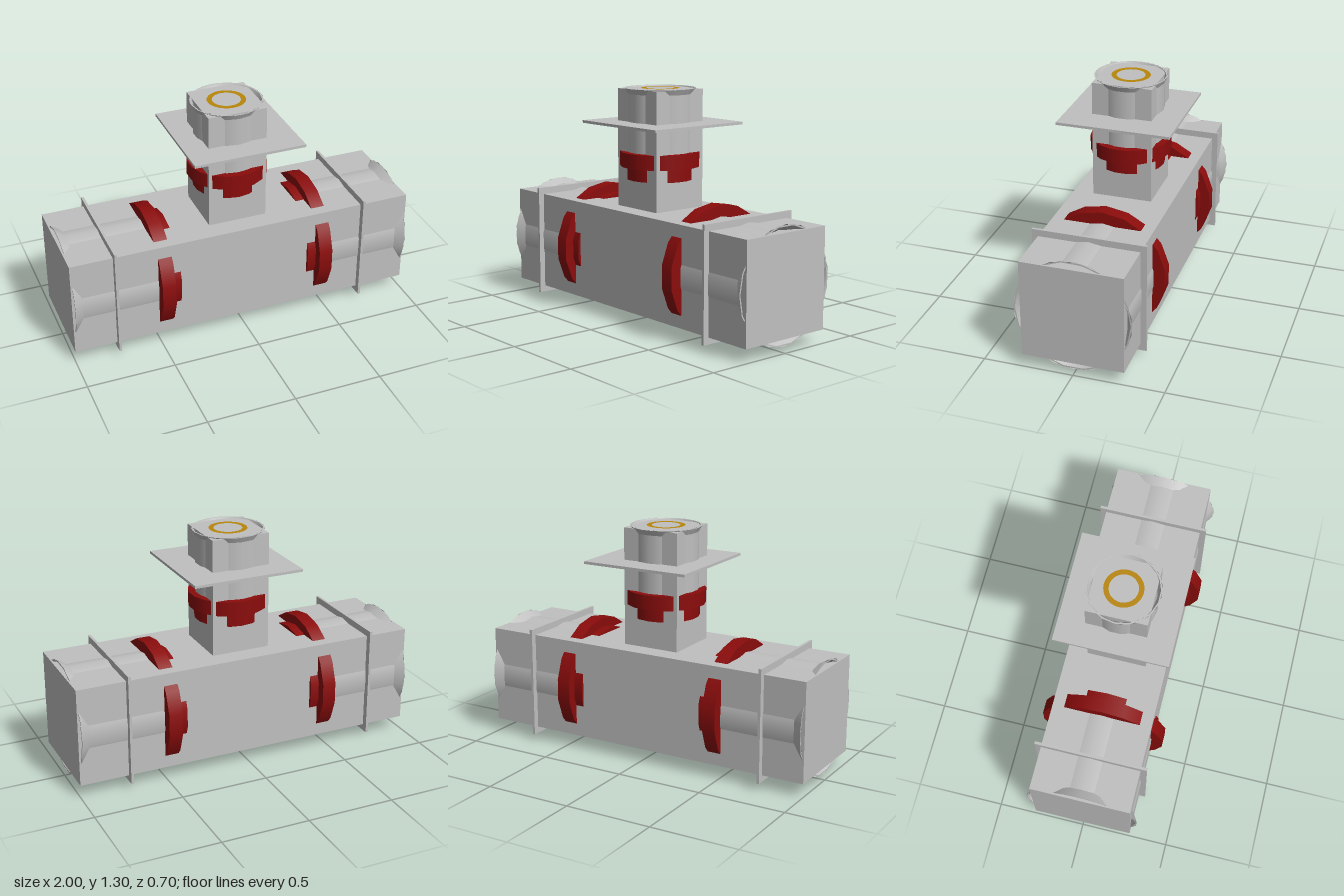
import * as THREE from 'three';

export function createModel() {
  const model = new THREE.Group();
  const grey = new THREE.MeshStandardMaterial({ color: 0xc0c0c0, side: THREE.DoubleSide });
  grey.name = 'pipe grey';
  const red = new THREE.MeshStandardMaterial({ color: 0x8b0c0c });
  red.name = 'flange red';
  const gold = new THREE.MeshStandardMaterial({ color: 0xb8860b });
  gold.name = 'ring gold';

  const SIDES = 18;
  const AXIS_Y = 0.356;

  function add(parent, name, geometry, material, x = 0, y = 0, z = 0) {
    const mesh = new THREE.Mesh(geometry, material);
    mesh.name = name;
    mesh.position.set(x, y, z);
    parent.add(mesh);
    return mesh;
  }
  const box = (parent, name, w, h, d, x, y, z) =>
    add(parent, name, new THREE.BoxGeometry(w, h, d), grey, x, y, z);

  // Cylinder between two heights along the local y axis
  function tube(parent, name, material, y0, y1, r0, r1, open, start) {
    const g = new THREE.CylinderGeometry(r1, r0, y1 - y0, SIDES, 1, open, start);
    return add(parent, name, g, material, 0, (y0 + y1) / 2, 0);
  }

  // Pipe with a flared open mouth and a stepped red flange
  function branch(name, d, start) {
    const group = new THREE.Group();
    group.name = name;
    tube(group, 'pipe', grey, d.stepStart, d.flareStart, d.pipe, d.pipe, true, start);
    tube(group, 'flare', grey, d.flareStart, d.end, d.pipe, d.mouth, true, start);
    tube(group, 'flareInner', grey, d.flareStart, d.end, d.pipe - 0.008, d.mouth - 0.008, true, start);
    const rim = new THREE.RingGeometry(d.mouth - 0.008, d.mouth, SIDES, 1, start);
    rim.rotateX(-Math.PI / 2);
    add(group, 'flareRim', rim, grey, 0, d.end, 0);
    tube(group, 'flangeStep', red, d.stepStart, d.flangeStart, d.step, d.step, false, start);
    tube(group, 'flange', red, d.flangeStart, d.flangeEnd, d.flange, d.flange, false, start);
    model.add(group);
    return group;
  }

  // Square casings of the main run and the upright branch
  box(model, 'mainCasing', 2, 0.56, 0.564, 0, AXIS_Y, 0);
  box(model, 'uprightCasing', 0.336, 0.7, 0.336, 0, 0.95, 0);

  // Horizontal branches, left and right
  for (const side of [1, -1]) {
    const run = branch(side > 0 ? 'leftBranch' : 'rightBranch', {
      stepStart: 0.38, flangeStart: 0.43, flangeEnd: 0.508, flareStart: 0.94, end: 0.99,
      pipe: 0.292, mouth: 0.322, step: 0.303, flange: 0.356,
    }, Math.PI / 2);
    run.position.y = AXIS_Y;
    run.rotation.z = -side * Math.PI / 2;
  }

  // Upright branch
  branch('uprightBranch', {
    stepStart: 0.795, flangeStart: 0.868, flangeEnd: 0.95, flareStart: 1.275, end: 1.305,
    pipe: 0.186, mouth: 0.201, step: 0.191, flange: 0.225,
  }, 0);

  // Thin square collars
  box(model, 'leftCollar', 0.015, 0.636, 0.632, 0.715, AXIS_Y, 0);
  box(model, 'rightCollar', 0.015, 0.636, 0.632, -0.752, AXIS_Y, 0);
  box(model, 'uprightCollar', 0.636, 0.015, 0.632, 0.0175, 1.112, 0);

  // Gold ring on the top face
  const ring = new THREE.RingGeometry(0.079, 0.107, 32);
  ring.rotateX(-Math.PI / 2);
  add(model, 'topRing', ring, gold, 0, 1.304, 0);

  return model;
}
